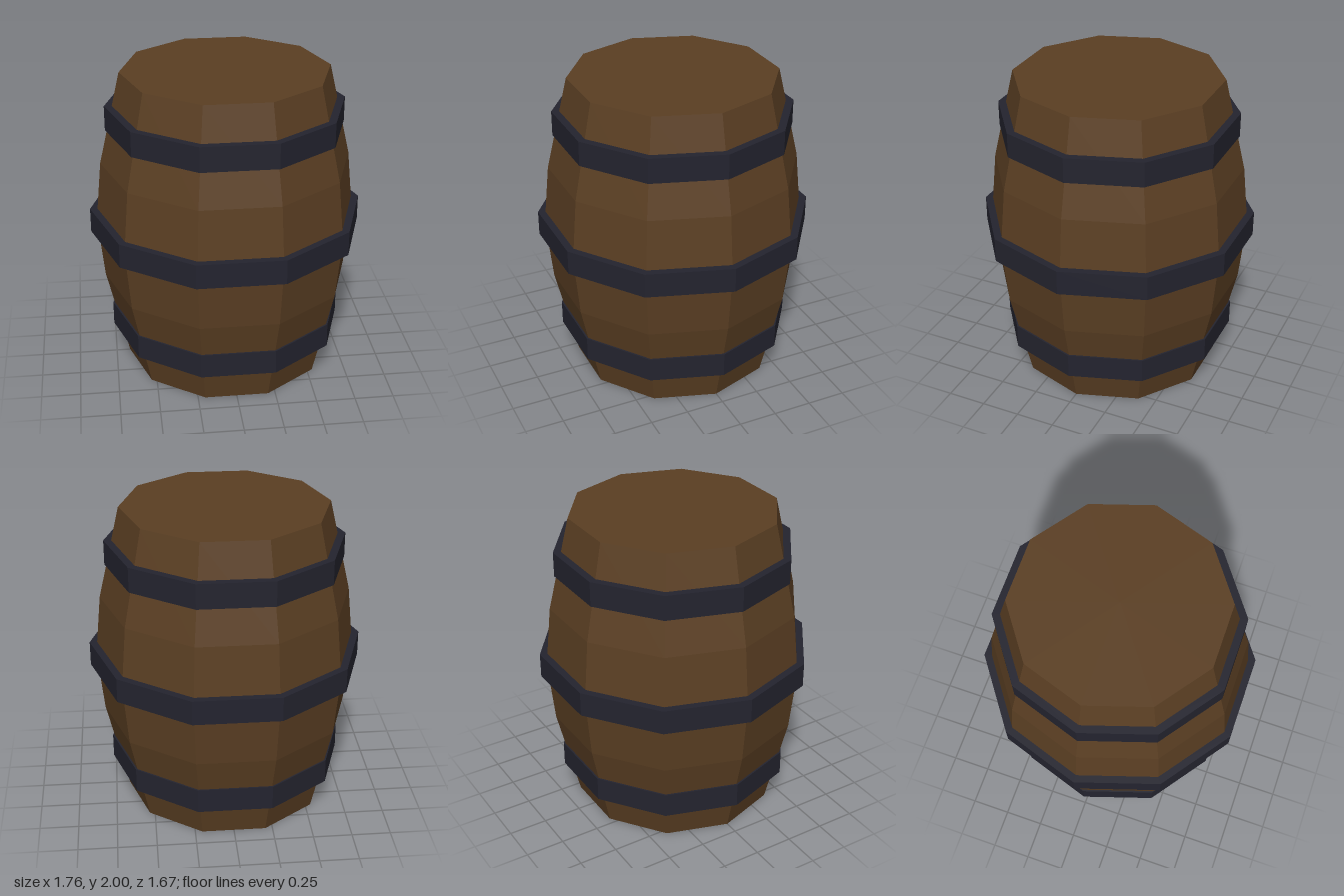
import * as THREE from 'three';

const SIDES = 10;
const wood = new THREE.MeshStandardMaterial({ name: 'brown wood', color: 0x5b3f23, flatShading: true });
const iron = new THREE.MeshStandardMaterial({ name: 'dark iron', color: 0x24242f, flatShading: true });

// Ten-sided turned solid, with corners on the x axis
function turned(name, profile, material) {
  const points = profile.map(([r, y]) => new THREE.Vector2(r, y));
  const geometry = new THREE.LatheGeometry(points, SIDES, Math.PI / SIDES);
  const mesh = new THREE.Mesh(geometry, material);
  mesh.name = name;
  return mesh;
}

export function createModel() {
  const barrel = new THREE.Group();
  barrel.name = 'barrel';

  // Bulging staves with flat lids at both ends
  barrel.add(turned('barrelBody', [
    [0, 0], [0.66, 0], [0.8, 0.6], [0.84, 1], [0.8, 1.4], [0.66, 2], [0, 2],
  ], wood));

  // Three straight-sided hoops: name, middle height, outer radius, inner radius
  const hoops = [
    ['lowerHoop', 0.3, 0.76, 0.69],
    ['middleHoop', 1.003, 0.88, 0.81],
    ['upperHoop', 1.703, 0.76, 0.69],
  ];
  for (const [name, y, outer, inner] of hoops) {
    const low = y - 0.08, high = y + 0.08;
    barrel.add(turned(name, [[inner, low], [outer, low], [outer, high], [inner, high]], iron));
  }
  return barrel;
}
